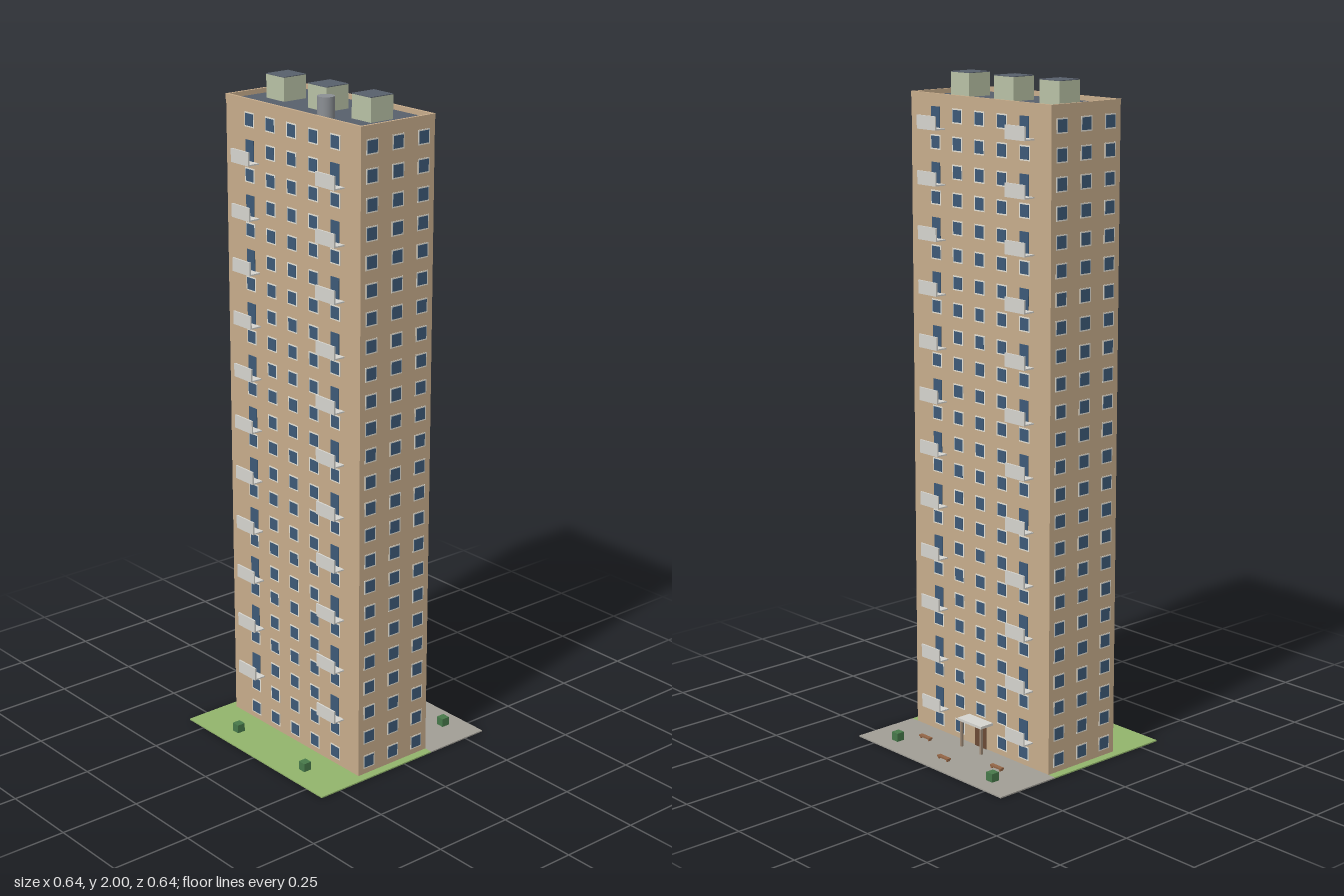
import * as THREE from 'three';
import { mergeGeometries } from 'three/addons/utils/BufferGeometryUtils.js';

const COLORS = {
  wall: 0xc8ad8c, roof: 0x58606c, frame: 0xe6e2d6, glass: 0x3d5a78, slab: 0xd6d5cf,
  grass: 0x93b56c, paving: 0xa19e96, bush: 0x47794a, bench: 0x946646, hut: 0xb9c2a6,
  metal: 0x8b8f94, door: 0x6b4a35, post: 0xa08c78,
};
const mats = {};
const mat = (key) => (mats[key] ??= new THREE.MeshStandardMaterial({ color: COLORS[key] }));

// Box given by centre x/z, bottom y and size
function box(w, h, d, x, y, z) {
  return new THREE.BoxGeometry(w, h, d).translate(x, y + h / 2, z);
}

export function createModel() {
  const model = new THREE.Group();
  const add = (name, color, geos) => {
    const mesh = new THREE.Mesh(Array.isArray(geos) ? mergeGeometries(geos) : geos, mat(color));
    mesh.name = name;
    model.add(mesh);
  };

  const W = 0.588, D = 0.266, ZC = 0.025; // tower footprint and its centre in z
  const ROOF = 1.93, BASE = 0.004;
  const FLOORS = 24, STEP = 0.0801, FIRST = 0.0425;
  const front = ZC + D / 2, back = ZC - D / 2;
  const columns = [-0.188, -0.094, 0, 0.094, 0.188];

  // Ground: lawn in front, paving behind
  add('lawn', 'grass', box(0.64, BASE, 0.32 - back, 0, 0, (0.32 + back) / 2));
  add('paving', 'paving', box(0.64, BASE, 0.32 + back, 0, 0, (back - 0.32) / 2));

  // Tower, roof and parapet
  add('tower', 'wall', box(W, ROOF - BASE - 0.002, D, 0, BASE, ZC));
  add('roof', 'roof', box(W - 0.014, 0.002, D - 0.014, 0, ROOF - 0.002, ZC));
  const t = 0.008, ph = 0.016;
  add('parapet', 'wall', [
    ...[-1, 1].map((s) => box(W + 0.002, ph, t, 0, ROOF - 0.002, ZC + s * (D / 2 + 0.001 - t / 2))),
    ...[-1, 1].map((s) => box(t, ph, D - 2 * t + 0.002, s * (W / 2 + 0.001 - t / 2), ROOF - 0.002, ZC)),
  ]);

  // Windows, balcony doors and balconies
  const frames = [], panes = [], doors = [], floors = [], rails = [];
  const addWindow = (x, y, z, turn) => {
    const place = (g) => g.rotateY(turn).translate(x, y, z);
    frames.push(place(new THREE.BoxGeometry(0.043, 0.043, 0.002)));
    panes.push(place(new THREE.BoxGeometry(0.035, 0.035, 0.004)));
  };
  const addBalcony = (x, y, wallZ, s) => {
    floors.push(box(0.08, 0.004, 0.038, x, y - 0.042, wallZ + s * 0.019));
    rails.push(box(0.08, 0.036, 0.005, x, y - 0.038, wallZ + s * 0.0355));
    doors.push(box(0.036, 0.06, 0.004, x, y - 0.038, wallZ));
  };
  for (let i = 0; i < FLOORS; i++) {
    const y = FIRST + i * STEP;
    for (const [wallZ, s] of [[front, 1], [back, -1]]) {
      // balconies alternate: even floors in front, odd floors behind
      const hasBalcony = s > 0 ? i > 0 && i % 2 === 0 : i % 2 === 1;
      for (const x of columns) {
        if (s < 0 && i === 0 && x === 0) continue; // entrance
        if (hasBalcony && Math.abs(x) > 0.15) addBalcony(Math.sign(x) * 0.187, y, wallZ, s);
        else addWindow(x, y, wallZ, 0);
      }
    }
    for (const s of [-1, 1])
      for (const dz of [-0.093, 0, 0.093]) addWindow(s * W / 2, y, ZC + dz, Math.PI / 2);
  }
  add('windowFrames', 'frame', frames);
  add('windowPanes', 'glass', panes);
  add('balconyDoors', 'glass', doors);
  add('balconyFloors', 'slab', floors);
  add('balconyFronts', 'slab', rails);

  // Rear entrance with canopy on two posts
  add('entranceDoor', 'door', box(0.05, 0.07, 0.006, 0, BASE, back));
  add('canopy', 'slab', box(0.106, 0.008, 0.048, 0, 0.087, back - 0.024));
  add('canopyPosts', 'post', [-1, 1].map((s) => box(0.007, 0.084, 0.007, s * 0.044, BASE, back - 0.039)));

  // Roof huts with dark lids, and a vent
  const huts = [-0.187, 0, 0.187];
  add('roofHuts', 'hut', huts.map((x) => box(0.08, 0.068, 0.08, x, ROOF, ZC)));
  add('hutLids', 'roof', huts.map((x) => box(0.08, 0.002, 0.08, x, 1.998, ZC)));
  add('roofVent', 'metal', new THREE.CylinderGeometry(0.025, 0.025, 0.06, 24).translate(0.093, 1.96, 0.111));

  // Benches and clipped bushes
  const benches = [[-0.16, -0.19], [0.16, -0.19], [0, -0.256]];
  add('benchSeats', 'bench', benches.map(([x, z]) => box(0.047, 0.005, 0.013, x, 0.009, z)));
  add('benchLegs', 'bench', benches.flatMap(([x, z]) =>
    [-1, 1].map((s) => box(0.005, 0.005, 0.011, x + s * 0.018, BASE, z))));
  add('bushes', 'bush', [[-0.213, -0.255], [0.213, -0.255], [-0.16, 0.252], [0.16, 0.252]]
    .map(([x, z]) => box(0.026, 0.026, 0.026, x, BASE, z)));

  return model;
}
